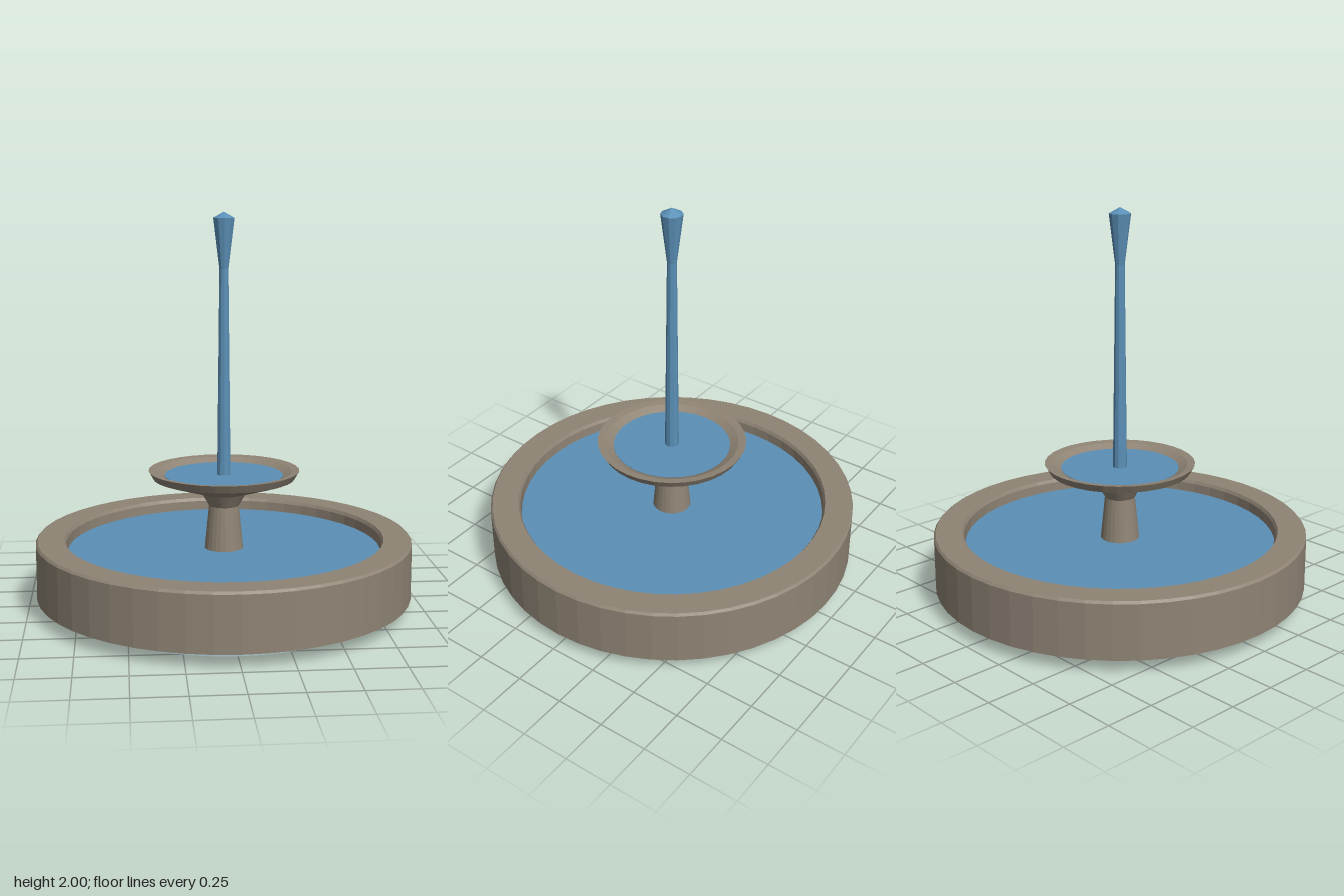
import * as THREE from 'three';

const mat = (name, color) => {
  const m = new THREE.MeshStandardMaterial({ color, flatShading: true });
  m.name = name;
  return m;
};

export function createModel() {
  const stone = mat('stone', 0x8f8475);
  const water = mat('water', 0x5b90b7);
  const paleBase = mat('pale base', 0xabc5cd);
  const group = new THREE.Group();
  group.name = 'fountain';

  const add = (name, geometry, material, y = 0) => {
    const mesh = new THREE.Mesh(geometry, material);
    mesh.name = name;
    mesh.position.y = y;
    group.add(mesh);
  };
  // Profiles run as [radius, height], up the outside and down the inside
  const lathe = (points, sides) =>
    new THREE.LatheGeometry(points.map(([r, y]) => new THREE.Vector2(r, y)), sides);

  // Pale plinth filling the inside of the ring
  add('plinth', new THREE.CylinderGeometry(0.8, 0.8, 0.285, 48), paleBase, 0.1425);

  // Stone ring with softened upper edges
  add('basinRing', lathe([
    [0.8, 0.067], [0.96, 0.067], [0.96, 0.345], [0.95, 0.357],
    [0.815, 0.357], [0.805, 0.34], [0.803, 0.28], [0.8, 0.067],
  ], 48), stone);
  add('basinWater', new THREE.CylinderGeometry(0.8, 0.8, 0.008, 48), water, 0.288);

  // Pedestal flaring into the upper bowl
  add('pedestal', lathe([[0.1, 0.285], [0.077, 0.52], [0, 0.52]], 24), stone);
  add('upperBowl', lathe([
    [0, 0.515], [0.077, 0.515], [0.115, 0.58], [0.335, 0.65], [0.362, 0.66],
    [0.385, 0.7], [0.345, 0.695], [0.3, 0.672], [0.29, 0.66],
  ], 32), stone);
  add('bowlWater', new THREE.CylinderGeometry(0.302, 0.302, 0.008, 32), water, 0.671);

  // Water jet with a widened tip
  add('waterJet', lathe([
    [0.036, 0.672], [0.024, 1.72], [0.055, 1.97], [0, 2],
  ], 10), water);

  return group;
}
